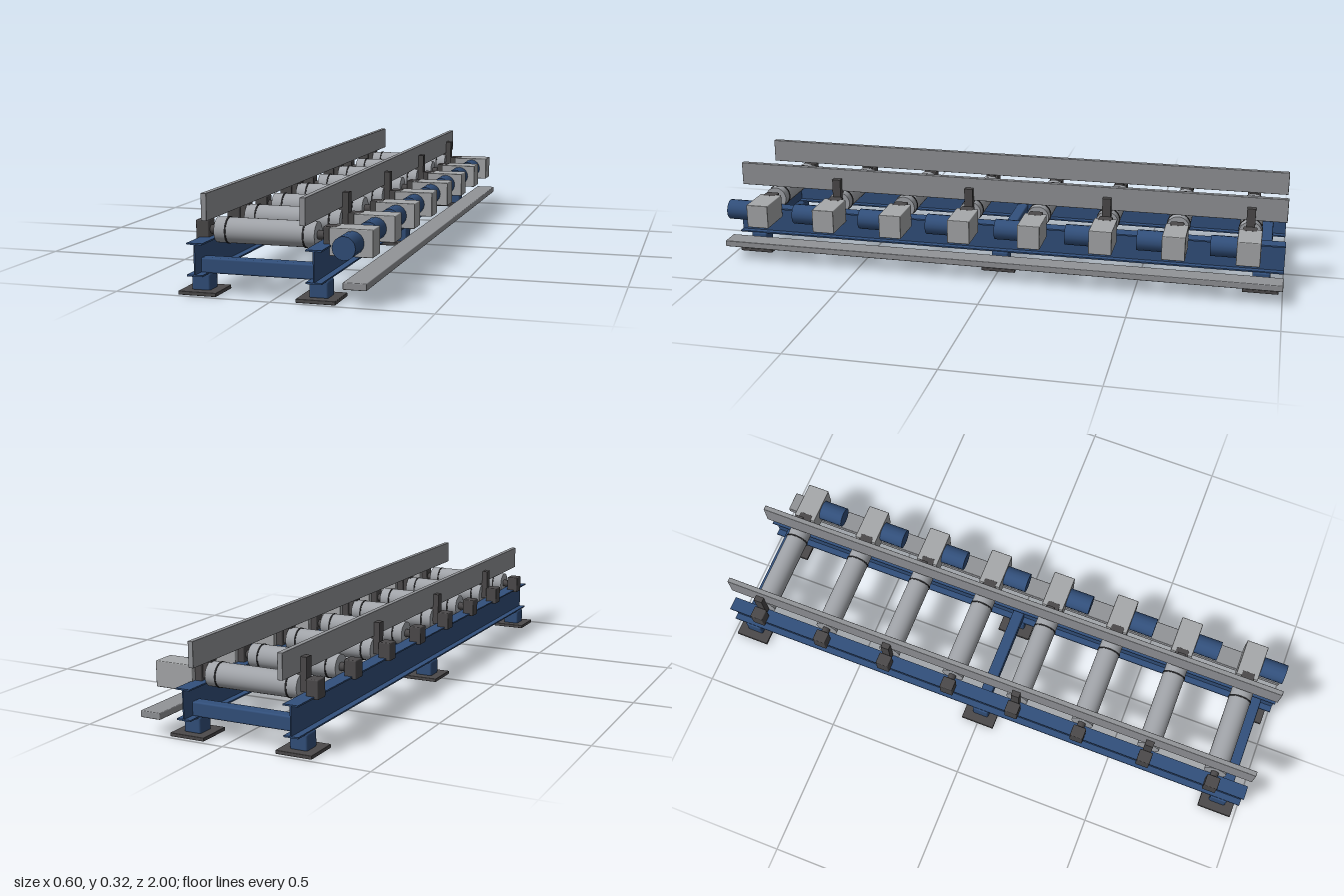
import * as THREE from 'three';
import { RoundedBoxGeometry } from 'three/addons/geometries/RoundedBoxGeometry.js';

const mat = (name, color) => Object.assign(new THREE.MeshStandardMaterial({ color }), { name });

export function createModel() {
  const root = new THREE.Group();
  root.name = 'rollerConveyor';
  const blue = mat('blue paint', 0x32507c);
  const steel = mat('roller steel', 0xa2a5aa);
  const rail = mat('rail grey', 0x929498);
  const casing = mat('gearbox grey', 0xa7a9ab);
  const dark = mat('dark iron', 0x4c4a4b);
  const black = mat('black rubber', 0x2b2b2d);

  const CX = -0.051;   // centre line of the frame
  const HALF = 0.188;  // from the centre line to each beam web
  const AXLE = 0.186;  // roller axle height

  const add = (parent, name, geo, material, x, y, z) => {
    const m = new THREE.Mesh(geo, material);
    m.name = name;
    m.position.set(x, y, z);
    parent.add(m);
    return m;
  };
  const box = (w, h, d, r = 0) => r
    ? new RoundedBoxGeometry(w, h, d, 2, r)
    : new THREE.BoxGeometry(w, h, d);
  const rod = (r, len, axis, sides = 32) => {
    const g = new THREE.CylinderGeometry(r, r, len, sides);
    return axis === 'x' ? g.rotateZ(Math.PI / 2) : g.rotateX(Math.PI / 2);
  };

  // I-section used for both long beams
  const I = [[-0.025, 0.062], [0.025, 0.062], [0.025, 0.067], [0.002, 0.067],
    [0.002, 0.159], [0.025, 0.159], [0.025, 0.164], [-0.025, 0.164],
    [-0.025, 0.159], [-0.002, 0.159], [-0.002, 0.067], [-0.025, 0.067]];
  const beamGeo = new THREE.ExtrudeGeometry(
    new THREE.Shape(I.map(([x, y]) => new THREE.Vector2(x, y))),
    { depth: 2, bevelEnabled: false }).translate(0, 0, -1);
  const plateGeo = box(0.123, 0.012, 0.123, 0.002);
  const legGeo = box(0.061, 0.056, 0.061, 0.007);
  const crossGeo = box(2 * HALF, 0.048, 0.042, 0.006);
  const guideGeo = box(0.018, 0.084, 2, 0.002);

  // Beams, feet and guide rails, on both sides
  for (const s of [-1, 1]) {
    const x = CX + s * HALF;
    add(root, 'sideBeam', beamGeo, blue, x, 0, 0);
    add(root, 'guideRail', guideGeo, rail, CX + s * 0.155, 0.275, 0);
    for (const z of [-0.925, 0, 0.925]) {
      add(root, 'footPlate', plateGeo, dark, x, 0.006, z);
      add(root, 'leg', legGeo, blue, x, 0.036, z);
    }
  }

  // Cross members between the beams
  for (const z of [-0.933, 0, 0.933]) add(root, 'crossMember', crossGeo, blue, CX, 0.088, z);

  // Cable tray along the drive side
  add(root, 'cableTray', box(0.073, 0.022, 2, 0.003), rail, 0.2615, 0.063, 0);

  // Driven rollers
  const rollerGeo = rod(0.04, 0.323, 'x');
  const ringGeo = rod(0.042, 0.005, 'x');
  const shaftGeo = rod(0.014, 0.42, 'x', 16);
  const bearingGeo = box(0.043, 0.062, 0.048, 0.004);
  const gearGeo = box(0.136, 0.085, 0.08, 0.003);
  const motorGeo = rod(0.036, 0.094, 'z', 16);
  const bracketGeo = box(0.021, 0.109, 0.03);
  const tabGeo = box(0.03, 0.01, 0.03);

  for (let i = 0; i < 8; i++) {
    const unit = new THREE.Group();
    unit.name = 'rollerUnit';
    unit.position.z = -0.877 + i * 0.25;
    root.add(unit);
    add(unit, 'roller', rollerGeo, steel, CX, AXLE, 0);
    add(unit, 'shaft', shaftGeo, dark, CX, AXLE, 0);
    for (const s of [-1, 1]) {
      add(unit, 'rollerRing', ringGeo, black, CX + s * 0.125, AXLE, 0);
      add(unit, 'bearingBlock', bearingGeo, dark, CX + s * 0.2055, AXLE, 0);
      // Every second roller carries the guide rail brackets
      if (i % 2 === 0) {
        add(unit, 'guideBracket', bracketGeo, dark, CX + s * 0.1735, 0.2265, 0);
        add(unit, 'bracketTab', tabGeo, dark, CX + s * 0.168, 0.23, 0);
      }
    }
    add(unit, 'gearbox', gearGeo, casing, 0.224, 0.1735, -0.002);
    add(unit, 'motor', motorGeo, blue, 0.229, 0.174, 0.08);
  }
  return root;
}
